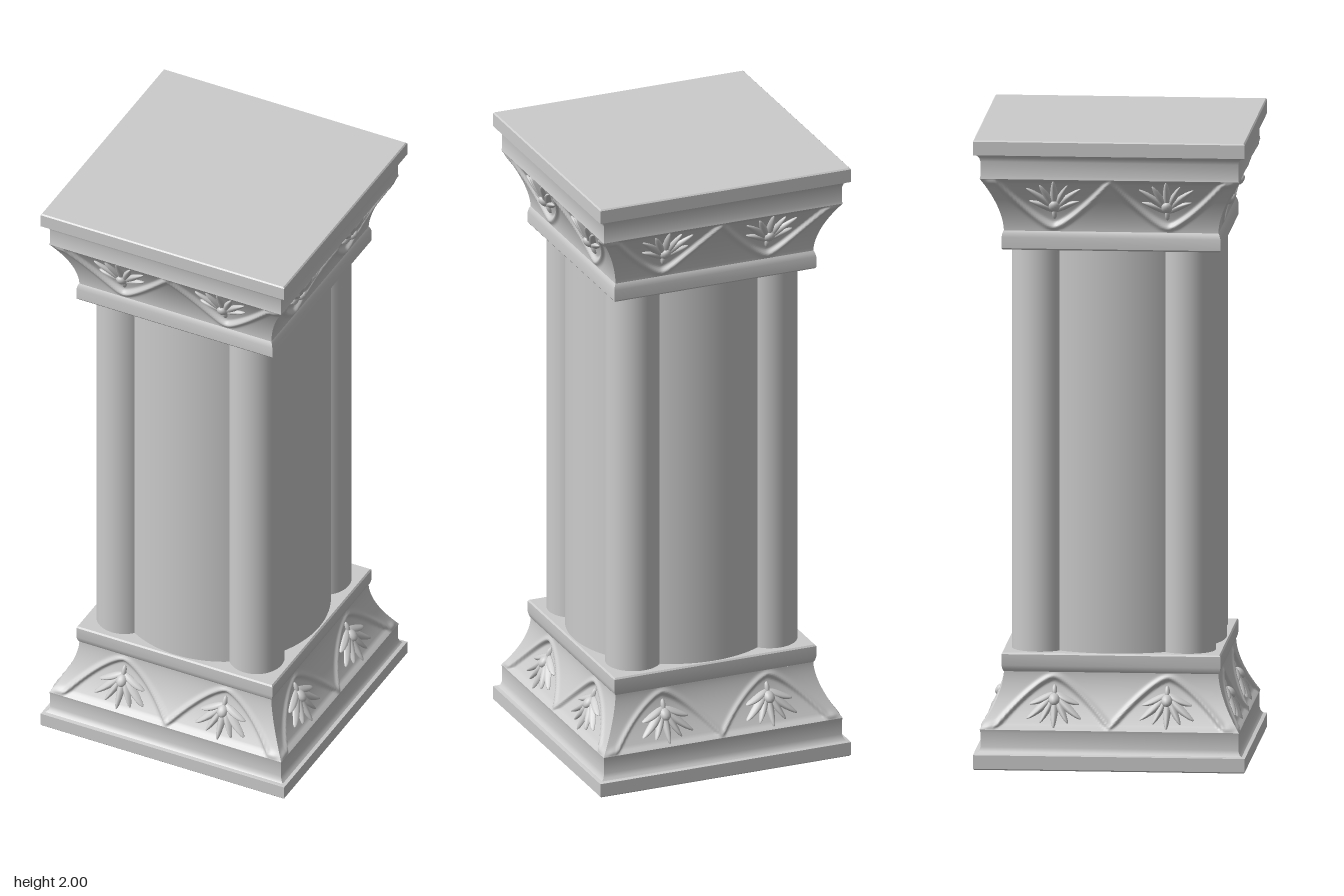
import * as THREE from 'three';
import { mergeGeometries, toCreasedNormals } from 'three/addons/utils/BufferGeometryUtils.js';

const stone = new THREE.MeshStandardMaterial({ color: 0xcccccc });
const BELL_LOW = 1.7, BELL_HIGH = 1.875;
const { clamp, smoothstep } = THREE.MathUtils;

function mesh(name, geometry) {
  const m = new THREE.Mesh(geometry, stone);
  m.name = name;
  return m;
}

// half width of the flaring bell at height y
function bell(y) {
  const v = clamp((y - BELL_LOW) / (BELL_HIGH - BELL_LOW), 0, 1);
  return 0.337 + 0.07 * Math.pow(v, 1.7);
}

// height of the pointed border: two scallops across each face
function border(x) {
  const d = Math.min(Math.abs(Math.abs(x) - 0.18) / 0.18, 1);
  return 1.712 + 0.155 * Math.pow(d, 1.35);
}

// square moulding with mitred corners, profile as [half width, y]
function moulding(profile) {
  const pts = profile.map(([h, y]) => new THREE.Vector2(h * Math.SQRT2, y));
  return toCreasedNormals(new THREE.LatheGeometry(pts, 4, Math.PI / 4), 0.5);
}

// one curved bell face with raised border and sunken field
function bellFace() {
  const g = new THREE.PlaneGeometry(2, 1, 112, 36);
  const p = g.attributes.position;
  for (let i = 0; i < p.count; i++) {
    const v = p.getY(i) + 0.5;
    const y = BELL_LOW + v * (BELL_HIGH - BELL_LOW);
    const h = bell(y), x = p.getX(i) * h;
    const e = (y - border(x)) * 0.75;
    const fade = smoothstep(h - Math.abs(x), 0, 0.025) * smoothstep(Math.min(v, 1 - v), 0, 0.08);
    const relief = 0.007 * Math.exp(-((e / 0.008) ** 2)) - 0.008 * smoothstep(e, 0, 0.014);
    p.setXYZ(i, x, y, h + relief * fade);
  }
  g.computeVertexNormals();
  return g;
}

// pointed leaf with a sharp midrib, growing up from the origin and bending sideways
function leaf(length, width, angle, bend) {
  const g = new THREE.SphereGeometry(1, 12, 10);
  const p = g.attributes.position;
  for (let i = 0; i < p.count; i++) {
    const t = (p.getY(i) + 1) / 2;
    const x = p.getX(i) * width * (1.15 - 0.5 * t);
    const rib = 1 - 0.35 * Math.min(1, Math.abs(p.getX(i)));
    p.setXYZ(i, x + bend * t * t, t * length, p.getZ(i) * 0.015 * rib);
  }
  return g.rotateZ(-angle);
}

// fan of leaves around a bud, laid onto the bell surface
function flower() {
  const parts = [leaf(0.105, 0.014, 0, 0)];
  for (const s of [-1, 1]) {
    parts.push(leaf(0.1, 0.013, s * 0.36, s * 0.01));
    parts.push(leaf(0.115, 0.014, s * 0.68, s * 0.018));
    parts.push(leaf(0.085, 0.012, s * 1.02, s * 0.012));
  }
  parts.push(new THREE.SphereGeometry(0.018, 14, 10).translate(0, 0.018, 0.008));
  parts.push(new THREE.SphereGeometry(1, 10, 8).scale(0.008, 0.018, 0.01).translate(0, -0.008, 0));
  const g = mergeGeometries(parts);
  const p = g.attributes.position;
  for (let i = 0; i < p.count; i++) {
    const y = p.getY(i) + 1.765;
    p.setXYZ(i, p.getX(i), y, p.getZ(i) + bell(y) - 0.006);
  }
  g.computeVertexNormals();
  return g;
}

const neckGeometry = moulding([[0, 1.64], [0.34, 1.64], [0.344, 1.645], [0.344, 1.68],
  [0.341, 1.693], [0.337, BELL_LOW]]);
const corniceGeometry = moulding([[0.38, BELL_HIGH - 0.001], [0.407, BELL_HIGH], [0.405, 1.885], [0.405, 1.93],
  [0.409, 1.943], [0.416, 1.95], [0.427, 1.953], [0.427, 1.996], [0.423, 2], [0, 2]]);
const faceGeometry = bellFace();
const flowerGeometry = flower();

function createCapital(name) {
  const group = new THREE.Group();
  group.name = name;
  group.add(mesh('neckBand', neckGeometry), mesh('cornice', corniceGeometry));
  for (let k = 0; k < 4; k++) {
    const side = new THREE.Group();
    side.name = 'carvedSide';
    side.rotation.y = k * Math.PI / 2;
    side.add(mesh('bellFace', faceGeometry));
    for (const s of [-1, 1]) {
      const f = mesh('flower', flowerGeometry);
      f.position.x = s * 0.177;
      side.add(f);
    }
    group.add(side);
  }
  return group;
}

export function createModel() {
  const model = new THREE.Group();
  model.name = 'pillar';

  // round core with a slim column at each corner
  const core = mesh('shaftCore', new THREE.CylinderGeometry(0.335, 0.335, 1.3, 96, 1, true));
  core.position.y = 1;
  model.add(core);
  const columnGeometry = new THREE.CylinderGeometry(0.088, 0.088, 1.3, 48, 1, true);
  for (const sx of [-1, 1]) for (const sz of [-1, 1]) {
    const column = mesh('cornerColumn', columnGeometry);
    column.position.set(sx * 0.232, 1, sz * 0.232);
    model.add(column);
  }

  // the base is the capital turned upside down
  const base = createCapital('base');
  base.rotation.x = Math.PI;
  base.position.y = 2;
  model.add(createCapital('capital'), base);
  return model;
}
